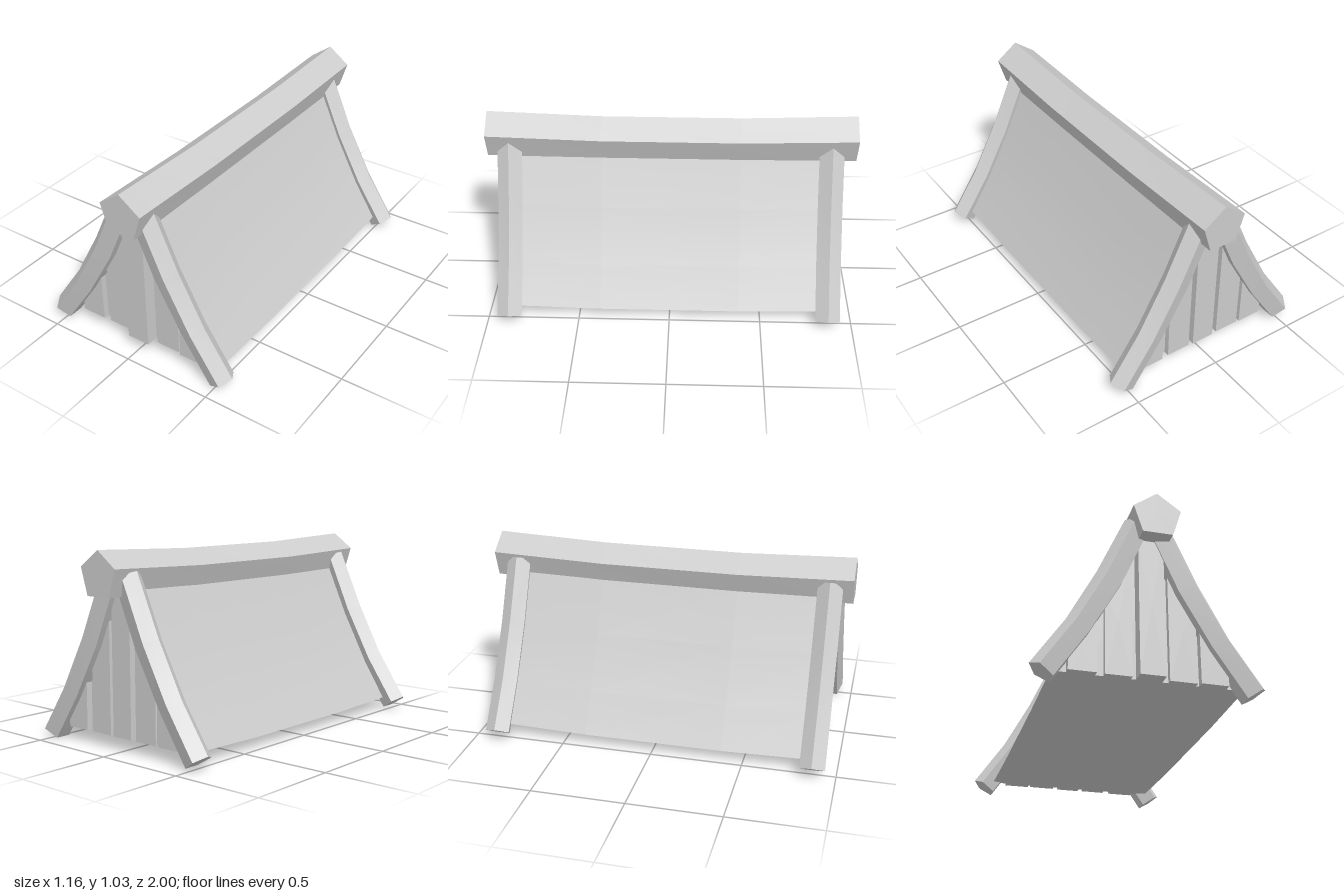
import * as THREE from 'three';
import { toCreasedNormals } from 'three/addons/utils/BufferGeometryUtils.js';

const material = new THREE.MeshStandardMaterial({ color: 0xcccccc });

// Closed solid through rings of [x, y, z] corners, capped at both ends.
function loft(name, rings) {
  const tris = [];
  const n = rings[0].length;
  const cap = (ring, flip) => {
    const c = [0, 1, 2].map(k => ring.reduce((s, p) => s + p[k], 0) / n);
    for (let i = 0; i < n; i++) {
      const a = ring[i], b = ring[(i + 1) % n];
      tris.push(flip ? [c, b, a] : [c, a, b]);
    }
  };
  for (let r = 0; r < rings.length - 1; r++) {
    for (let i = 0; i < n; i++) {
      const j = (i + 1) % n;
      const a = rings[r][i], b = rings[r][j], c = rings[r + 1][j], d = rings[r + 1][i];
      tris.push([a, b, c], [a, c, d]);
    }
  }
  cap(rings[0], true);
  cap(rings[rings.length - 1], false);
  // Turn the faces outward if the enclosed volume comes out negative.
  const volume = tris.reduce((s, [a, b, c]) => s +
    a[0] * (b[1] * c[2] - b[2] * c[1]) +
    a[1] * (b[2] * c[0] - b[0] * c[2]) +
    a[2] * (b[0] * c[1] - b[1] * c[0]), 0);
  if (volume < 0) tris.forEach(t => t.reverse());
  const geo = new THREE.BufferGeometry();
  geo.setAttribute('position', new THREE.Float32BufferAttribute(tris.flat(2), 3));
  const mesh = new THREE.Mesh(toCreasedNormals(geo, 0.5), material);
  mesh.name = name;
  return mesh;
}

// Slope of the roof from eave to ridge, as [x, y].
const slope = [[0.48, 0.07], [0.35, 0.275], [0.2, 0.555], [0.07, 0.84]];

function roofHeight(x) {
  const ax = Math.abs(x);
  for (let i = 0; i < slope.length - 1; i++) {
    const [x0, y0] = slope[i], [x1, y1] = slope[i + 1];
    if (ax >= x1) return y0 + (y1 - y0) * (x0 - ax) / (x0 - x1);
  }
  return 0.83;
}

export function createModel() {
  const model = new THREE.Group();
  model.name = 'roof';

  // Pentagonal ridge beam, sagging in the middle: [x, y, sag]
  const beam = [[0.016, 1.033, 0.022], [0.139, 0.945, 0.018], [0.094, 0.802, 0.005],
    [-0.061, 0.802, 0.005], [-0.106, 0.945, 0.018]];
  model.add(loft('ridgeBeam', [[1, 0], [0.38, 1], [-0.38, 1], [-1, 0]].map(([z, s]) =>
    beam.map(([x, y, sag]) => [x, y - sag * s, z]))));

  // Roof body with concave slopes and a closed underside
  const section = [...slope.map(([x, y]) => [x + 0.005, y]),
    ...slope.map(([x, y]) => [-x + 0.005, y]).reverse()];
  model.add(loft('roofBody', [[0.84, 0], [0.38, 0.012], [-0.38, 0.012], [-0.84, 0]].map(([z, sag]) =>
    section.map(([x, y]) => [x, y - sag, z]))));

  // Curved pentagonal rafters: outer and inner edge at each bend
  const bends = [
    [[0.58, 0.07], [0.472, 0.0]],
    [[0.41, 0.32], [0.303, 0.25]],
    [[0.26, 0.6], [0.143, 0.533]],
    [[0.115, 0.92], [-0.005, 0.87]],
  ];
  const profile = [[0, 0], [0.36, 0.067], [1, 0.042], [1, -0.042], [0.36, -0.067]];
  for (const [end, zc] of [['front', 0.877], ['back', -0.866]]) {
    for (const side of [1, -1]) {
      const lift = side < 0 ? 0.01 : 0;
      const rings = bends.map(([o, i]) => profile.map(([t, w]) => [
        side * (o[0] + (i[0] - o[0]) * t) - (side < 0 ? 0.004 : 0),
        o[1] + (i[1] - o[1]) * t + lift,
        zc + w,
      ]));
      model.add(loft(end + (side > 0 ? 'Left' : 'Right') + 'Rafter', rings));
    }
  }

  // Gable planks: [x start, x end, front face z]
  const planks = [[-0.4, -0.26, 0.875], [-0.22, -0.085, 0.87], [-0.06, 0.07, 0.912],
    [0.1, 0.24, 0.87], [0.255, 0.395, 0.88]];
  for (const [end, dir] of [['front', 1], ['back', -1]]) {
    const gable = new THREE.Group();
    gable.name = end + 'GablePlanks';
    for (const [x0, x1, face] of planks) {
      const z1 = dir > 0 ? face : Math.min(face, 0.875);
      const outline = [[x0, 0.07], [x1, 0.07], [x1, roofHeight(x1) - 0.02], [x0, roofHeight(x0) - 0.02]];
      gable.add(loft('plank', [0.8, z1].map(z => outline.map(([x, y]) => [x * dir, y, z * dir]))));
    }
    model.add(gable);
  }
  return model;
}
